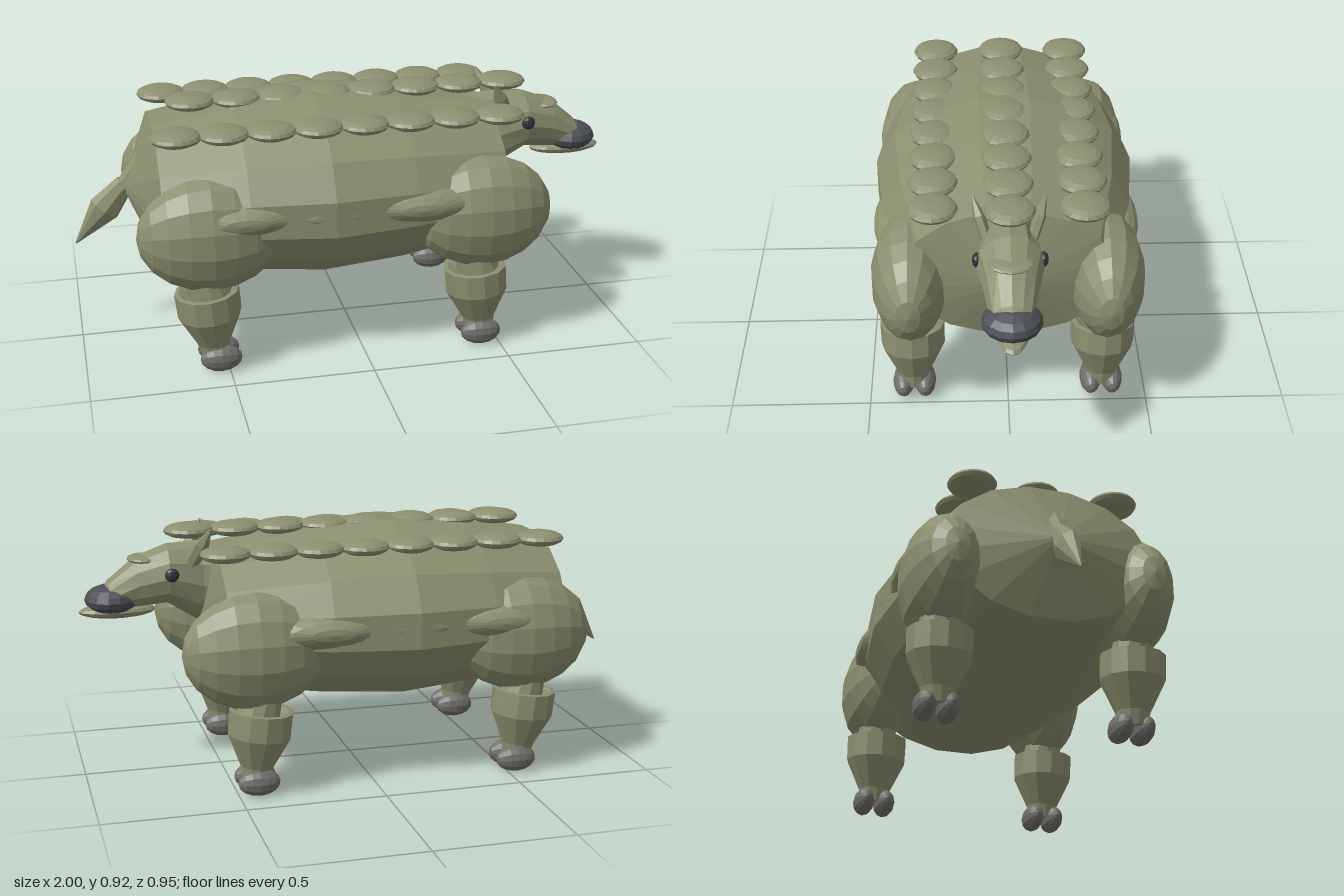
import * as THREE from 'three';

const mat = (name, color) => Object.assign(new THREE.MeshStandardMaterial({ color }), { name });

export function createModel() {
  const group = new THREE.Group();
  const hide = mat('olive hide', 0x8c8f70);
  const horn = mat('grey hoof', 0x706f6a);
  const dark = mat('slate muzzle', 0x4b4e55);
  const black = mat('dark eye', 0x2f343b);

  // Adds a mesh with faceted normals
  function add(name, geo, material) {
    const flat = geo.index ? geo.toNonIndexed() : geo;
    flat.computeVertexNormals();
    const mesh = new THREE.Mesh(flat, material);
    mesh.name = name;
    group.add(mesh);
    return mesh;
  }

  // Ellipsoid; axis 'x' or 'z' turns its poles that way
  function blob(name, p, r, material, w = 14, h = 8, axis = 'y') {
    const g = new THREE.SphereGeometry(1, w, h);
    if (axis === 'x') g.rotateZ(-Math.PI / 2);
    if (axis === 'z') g.rotateX(Math.PI / 2);
    g.scale(...r).translate(...p);
    return add(name, g, material);
  }

  // Lathe from a profile of [height, radius]
  function lathe(profile, sides, phase = 0) {
    const pts = profile.map(([y, r]) => new THREE.Vector2(r, y));
    return new THREE.LatheGeometry(pts, sides, phase);
  }

  // Tapered limb between two points
  function limb(name, a, b, profile, sides, flatten = 1) {
    const from = new THREE.Vector3(...a), dir = new THREE.Vector3(...b).sub(from);
    const len = dir.length();
    const g = lathe(profile.map(([t, r]) => [t * len, r]), sides);
    g.scale(1, 1, flatten);
    const mesh = add(name, g, hide);
    mesh.position.copy(from);
    mesh.quaternion.setFromUnitVectors(new THREE.Vector3(0, 1, 0), dir.normalize());
  }

  // Barrel body with shallow conical ends
  const barrel = lathe([[-0.82, 0], [-0.71, 0.78], [-0.42, 0.94], [-0.13, 1.02],
    [0.17, 0.95], [0.52, 0.78], [0.58, 0]], 16, Math.PI / 16);
  barrel.rotateZ(-Math.PI / 2).scale(1, 0.325, 0.475).translate(0, 0.58, 0);
  add('body', barrel, hide);

  // Neck and head, lofted from elliptical rings: x, centre y, half height, half width
  const rings = [[0.42, 0.69, 0.15, 0.12], [0.56, 0.7, 0.15, 0.1], [0.68, 0.735, 0.108, 0.115],
    [0.79, 0.71, 0.093, 0.09], [0.89, 0.665, 0.055, 0.07], [0.94, 0.645, 0.001, 0.001]];
  const head = new THREE.CylinderGeometry(1, 1, 1, 12, rings.length - 1, true);
  head.rotateZ(-Math.PI / 2);
  const pos = head.attributes.position;
  for (let i = 0; i < pos.count; i++) {
    const [x, y, ry, rz] = rings[Math.round((pos.getX(i) + 0.5) * (rings.length - 1))];
    pos.setXYZ(i, x, y + pos.getY(i) * ry, pos.getZ(i) * rz);
  }
  add('head', head, hide);
  blob('muzzle', [0.878, 0.653, 0], [0.097, 0.053, 0.1], dark, 14, 8);
  blob('lowerJaw', [0.86, 0.609, 0], [0.138, 0.027, 0.056], hide);
  blob('browPlate', [0.765, 0.793, 0], [0.055, 0.015, 0.075], hide);

  // Back plates: one central row and one row either side
  for (let i = 0; i < 8; i++) {
    blob('spinePlate', [-0.565 + i * 0.166, 0.887, 0], [0.09, 0.028, 0.086], hide, 18, 8);
    for (const s of [-1, 1])
      blob('sidePlate', [-0.645 + i * 0.165, 0.843, s * 0.255], [0.09, 0.029, 0.086], hide, 18, 8);
  }

  for (const s of [-1, 1]) {
    // Eyes, ears and flank folds
    blob('eye', [0.675, 0.748, s * 0.11], [0.026, 0.025, 0.015], black, 10, 6);
    limb('ear', [0.61, 0.76, s * 0.07], [0.535, 0.905, s * 0.12],
      [[0, 0], [0, 0.024], [0.6, 0.028], [1, 0.004]], 6, 0.75);
    for (const x of [-0.44, -0.13, 0.18])
      blob('flankFold', [x, 0.585, s * 0.37], [0.25, 0.07, 0.103], hide, 16, 10, 'z');

    // Legs: thigh, knee, calf and two toes
    for (const x of [-0.55, 0.43]) {
      blob('thigh', [x, 0.515, s * 0.341], [0.254, 0.209, 0.136], hide, 14, 10, 'x');
      limb('knee', [x - 0.005, 0.28, s * 0.34], [x - 0.045, 0.42, s * 0.34],
        [[0, 0.08], [0.3, 0.075], [1, 0.06]], 12);
      limb('calf', [x + 0.005, 0.05, s * 0.34], [x - 0.02, 0.305, s * 0.34],
        [[0, 0], [0, 0.05], [0.2, 0.06], [0.64, 0.113], [0.99, 0.115], [1, 0.1], [0.93, 0.07], [0.93, 0]], 12);
      const toeX = x > 0 ? 0.43 : -0.53;
      for (const d of [-0.039, 0.039])
        blob('toe', [toeX, 0.05, s * 0.34 + d], [0.075, 0.05, 0.039], horn, 12, 8, 'x');
    }
  }

  // Tail: stub and tapering tuft
  limb('tailStub', [-0.7, 0.72, 0], [-0.86, 0.53, 0], [[0, 0], [0, 0.045], [1, 0.028], [1, 0]], 8);
  limb('tailTuft', [-0.81, 0.595, 0], [-1, 0.375, 0],
    [[0, 0], [0, 0.036], [0.42, 0.058], [1, 0.003]], 8, 0.78);

  return group;
}
